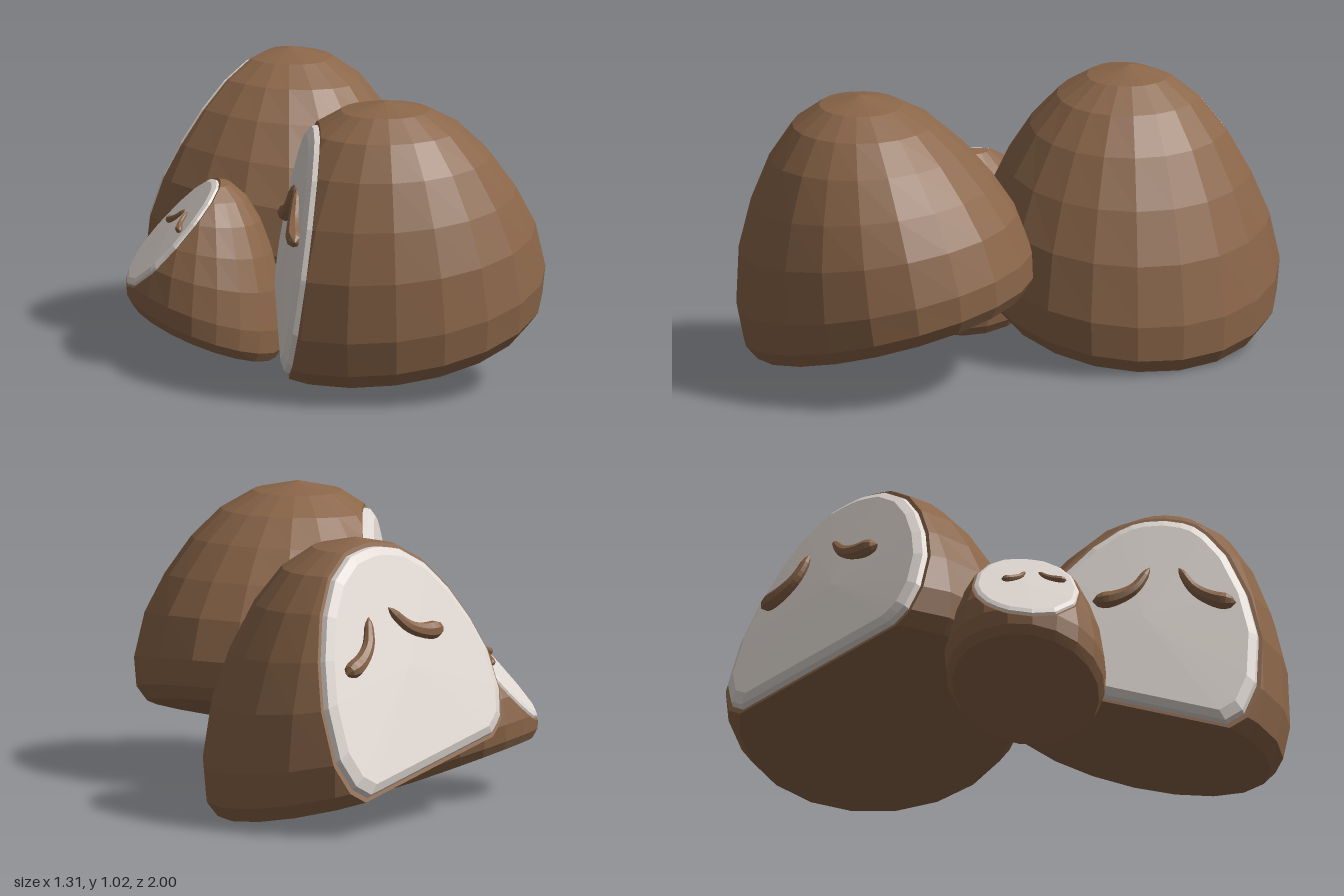
import * as THREE from 'three';

const brown = new THREE.MeshStandardMaterial({ color: 0x8b6649, flatShading: true });
const white = new THREE.MeshStandardMaterial({ color: 0xe0d8d2, flatShading: true });
const UP = new THREE.Vector3(0, 1, 0);

// Dome profile: radius and height as fractions
const PROFILE = [[0, 0], [0.91, 0], [0.98, 0.06], [1, 0.19], [0.94, 0.4], [0.82, 0.58],
  [0.66, 0.75], [0.48, 0.88], [0.28, 0.96], [0, 1]].map(([r, h]) => new THREE.Vector2(r, h));

// Each dome: base centre, radii across and along the face, height, base slope in x and z,
// lean of the top, face plane (normal and distance), brow shift and roll
const DOMES = [
  { name: 'frontDome', base: [0.1, 0.2, 0.46], ru: 0.52, rw: 0.56, height: 0.83, slope: [0.17, -0.2],
    lean: [-0.04, 0.1], normal: [-0.956, 0.14, -0.257], d: 0.16, shift: 0.18, roll: 0 },
  { name: 'backDome', base: [0.068, 0.15, -0.495], ru: 0.52, rw: 0.56, height: 0.85, slope: [-0.28, 0],
    lean: [0, 0], normal: [-0.508, 0.34, -0.79], d: 0.755, shift: -0.12, roll: 0.22 },
  { name: 'smallDome', base: [-0.39, 0.11, -0.085], ru: 0.285, rw: 0.28, height: 0.54, slope: [-0.33, -0.2],
    lean: [0.02, 0], normal: [-0.73, 0.66, -0.14], d: 0.68, shift: 0.15, roll: 0.05 },
];

function meshFrom(points, material, name) {
  const geometry = new THREE.BufferGeometry().setFromPoints(points);
  geometry.computeVertexNormals();
  const mesh = new THREE.Mesh(geometry, material);
  mesh.name = name;
  return mesh;
}

// Sheared, tilted dome as a list of triangle corners
function domeTriangles(o, u, nh) {
  const pos = new THREE.LatheGeometry(PROFILE, 20).toNonIndexed().attributes.position;
  const points = [];
  for (let i = 0; i < pos.count; i++) {
    const h = pos.getY(i);
    const p = u.clone().multiplyScalar(pos.getX(i) * o.ru).addScaledVector(nh, pos.getZ(i) * o.rw);
    const y = h * o.height + (1 - h) * (o.slope[0] * p.x + o.slope[1] * p.z);
    points.push(new THREE.Vector3(o.base[0] + p.x + o.lean[0] * h, o.base[1] + y, o.base[2] + p.z + o.lean[1] * h));
  }
  return points;
}

// Cut triangles by the face plane; returns the kept triangles and the points on the cut
function cut(points, n, d) {
  const kept = [], rim = [];
  for (let i = 0; i < points.length; i += 3) {
    const poly = [];
    for (let k = 0; k < 3; k++) {
      const a = points[i + k], b = points[i + (k + 1) % 3];
      const da = n.dot(a) - d, db = n.dot(b) - d;
      if (da <= 0) poly.push(a);
      if ((da < 0 && db > 0) || (da > 0 && db < 0)) {
        const p = a.clone().lerp(b, da / (da - db));
        poly.push(p);
        rim.push(p);
      }
    }
    for (let k = 1; k < poly.length - 1; k++) kept.push(poly[0], poly[k], poly[k + 1]);
  }
  return { kept, rim };
}

// Tapered, curved brow lying on the face, in face units
function browGeometry(side) {
  const curve = new THREE.CatmullRomCurve3([[0.6, 0.13], [0.42, 0.16], [0.25, 0.26], [0.12, 0.47]]
    .map(([x, y]) => new THREE.Vector3(side * x, y, 0)));
  const geometry = new THREE.TubeGeometry(curve, 14, 1, 8);
  const { position, uv } = geometry.attributes;
  const p = new THREE.Vector3();
  for (let i = 0; i < position.count; i++) {
    const t = uv.getX(i), c = curve.getPointAt(t);
    const r = 0.085 * Math.min(1, Math.sqrt(6 * t), Math.sqrt(8 * Math.max(0, 1 - t))) * (1 - 0.65 * t);
    p.fromBufferAttribute(position, i).sub(c).multiplyScalar(r).add(c);
    position.setXYZ(i, p.x, p.y, p.z);
  }
  geometry.computeVertexNormals();
  return geometry;
}

function dome(o) {
  const group = new THREE.Group();
  group.name = o.name;
  const n = new THREE.Vector3(...o.normal).normalize();
  const u = UP.clone().cross(n).normalize();
  const v = n.clone().cross(u);
  const nh = u.clone().cross(UP);

  const { kept, rim } = cut(domeTriangles(o, u, nh), n, o.d);

  // Face outline in plane coordinates, centred and sorted around its middle
  const flat = rim.map((p) => new THREE.Vector2(p.dot(u), p.dot(v)));
  const box = new THREE.Box2().setFromPoints(flat);
  const mid = box.getCenter(new THREE.Vector2()), size = box.getSize(new THREE.Vector2());
  const outline = flat.map((q) => q.sub(mid)).sort((a, b) => Math.atan2(a.y, a.x) - Math.atan2(b.y, b.x))
    .filter((q, i, all) => i === 0 || q.distanceTo(all[i - 1]) > 0.004);
  const place = (q, s, lift) => new THREE.Vector3().addScaledVector(u, mid.x + q.x * s)
    .addScaledVector(v, mid.y + q.y * s).addScaledVector(n, o.d + lift);

  // Brown body with its cut closed, and the bevelled white face plate
  const plate = [];
  const k = size.x;
  const rings = [[0.97, -0.005], [0.95, 0.022 * k], [0.88, 0.042 * k], [0, 0.05 * k]];
  outline.forEach((a, i) => {
    const b = outline[(i + 1) % outline.length];
    kept.push(place(a, 1, 0), place(b, 1, 0), place(a, 0, 0));
    for (let j = 0; j < rings.length - 1; j++) {
      const [s0, l0] = rings[j], [s1, l1] = rings[j + 1];
      plate.push(place(a, s0, l0), place(b, s0, l0), place(a, s1, l1));
      if (s1 > 0) plate.push(place(b, s0, l0), place(b, s1, l1), place(a, s1, l1));
    }
  });
  group.add(meshFrom(kept, brown, 'body'), meshFrom(plate, white, 'facePlate'));

  // Pair of slanted brows
  const brows = new THREE.Group();
  brows.name = 'brows';
  for (const side of [-1, 1]) {
    const brow = new THREE.Mesh(browGeometry(side), brown);
    brow.name = side < 0 ? 'leftBrow' : 'rightBrow';
    brows.add(brow);
  }
  brows.quaternion.setFromRotationMatrix(new THREE.Matrix4().makeBasis(u, v, n));
  brows.rotateZ(o.roll);
  brows.scale.setScalar(size.x / 2);
  brows.position.copy(place(new THREE.Vector2(o.shift * size.x / 2, 0), 1, 0.06 * k));
  group.add(brows);
  return group;
}

export function createModel() {
  const model = new THREE.Group();
  model.name = 'domeTrio';
  DOMES.forEach((o) => model.add(dome(o)));
  return model;
}
